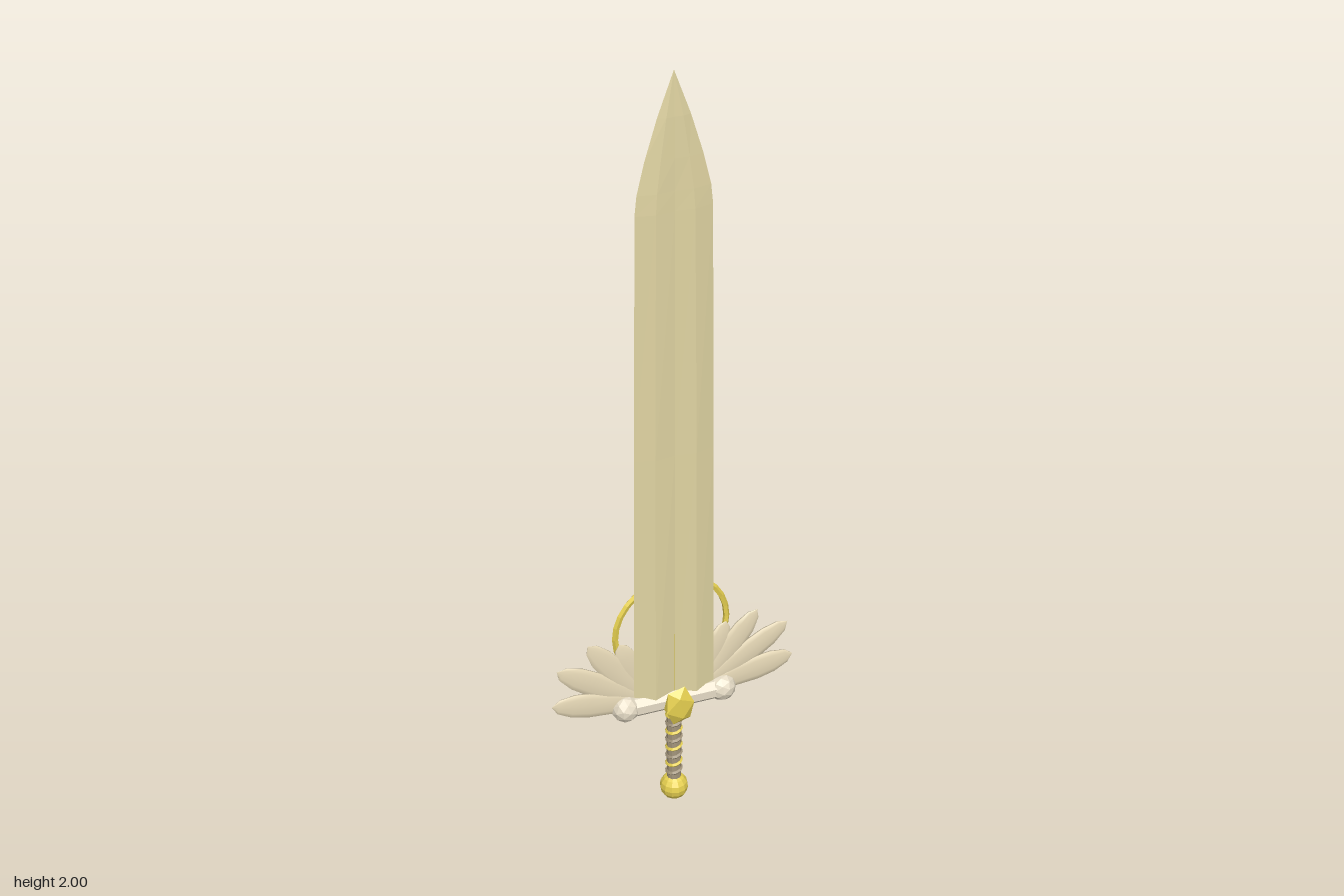
import * as THREE from 'three';

const mat = (color, flatShading = true) => {
  const m = new THREE.MeshStandardMaterial({ flatShading });
  m.color.set(color);
  return m;
};

export function createModel() {
  const root = new THREE.Group();
  root.name = 'wingedSword';
  const steel = mat(0xe0d4a2);
  const cream = mat(0xe6dcc6);
  const plume = mat(0xe8dab8, false);
  const gold = mat(0xe6d050);
  const leather = mat(0xa3957c);

  const add = (name, geometry, material, x = 0, y = 0, z = 0, parent = root) => {
    const mesh = new THREE.Mesh(geometry, material);
    mesh.name = name;
    mesh.position.set(x, y, z);
    parent.add(mesh);
    return mesh;
  };

  // Blade: two ridges with a shallow hollow between, lofted up to the tip
  const rows = [ // height, half width, ridge x, ridge depth, hollow depth
    [0.31, 0.106, 0.054, 0.017, 0.006],
    [1.02, 0.1, 0.052, 0.014, 0.006],
    [1.66, 0.094, 0.047, 0.011, 0.006],
    [1.71, 0.089, 0.044, 0.01, 0.006],
    [1.79, 0.07, 0.034, 0.008, 0.006],
    [1.89, 0.04, 0.02, 0.006, 0.005],
    [2.0, 0, 0, 0, 0],
  ];
  const section = ([y, w, r, d, h]) => [
    [-w, y, 0], [-r, y, d], [0, y, h], [r, y, d],
    [w, y, 0], [r, y, -d], [0, y, -h], [-r, y, -d],
  ];
  const verts = [];
  for (let i = 0; i < rows.length - 1; i++) {
    const lo = section(rows[i]);
    const hi = section(rows[i + 1]);
    for (let j = 0; j < 8; j++) {
      const k = (j + 1) % 8;
      verts.push(...lo[j], ...lo[k], ...hi[k]);
      if (i < rows.length - 2) verts.push(...lo[j], ...hi[k], ...hi[j]);
    }
  }
  const blade = new THREE.BufferGeometry();
  blade.setAttribute('position', new THREE.Float32BufferAttribute(verts, 3));
  blade.computeVertexNormals();
  add('blade', blade, steel);

  // Slim gold inlay down the middle of the hollow
  const inlay = new THREE.CylinderGeometry(0.001, 0.0045, 0.68, 4);
  inlay.scale(1, 1, 1.8);
  add('bladeInlay', inlay, gold, 0, 0.67, 0);

  // Ring behind the blade
  add('halo', new THREE.TorusGeometry(0.146, 0.008, 5, 28), gold, 0, 0.51, -0.02);

  // Wings: flat feathers fanned out from the guard
  const profile = [[0, 0], [0.016, 0.08], [0.027, 0.3], [0.034, 0.6], [0.031, 0.78], [0.019, 0.93], [0, 1]]
    .map(([r, t]) => new THREE.Vector2(r, t));
  const tips = [[0.318, 0.362], [0.303, 0.463], [0.222, 0.518], [0.14, 0.502]];
  for (const side of [1, -1]) {
    const wing = new THREE.Group();
    wing.name = side > 0 ? 'leftWing' : 'rightWing';
    root.add(wing);
    tips.forEach(([tx, ty], i) => {
      const dx = tx - 0.07, dy = ty - 0.315;
      const g = new THREE.LatheGeometry(profile, 10);
      g.scale(1.08 - i * 0.06, Math.hypot(dx, dy), 0.2);
      const feather = add('feather', g, plume, side * 0.07, 0.315, -0.002 - i * 0.0015, wing);
      feather.rotation.z = -side * Math.atan2(dx, dy);
    });
  }

  // Crossguard with faceted end knobs
  const bar = new THREE.CylinderGeometry(0.028, 0.028, 0.25, 8);
  bar.rotateY(Math.PI / 8);
  bar.rotateZ(Math.PI / 2);
  add('crossguard', bar, cream, 0, 0.31, -0.003);
  for (const side of [1, -1]) {
    const knob = add('guardKnob', new THREE.IcosahedronGeometry(0.036, 1), cream, side * 0.128, 0.31, -0.002);
    knob.rotation.set(0.3, side * 0.4, 0.2);
  }

  // Cut gems on both faces of the guard
  for (const side of [1, -1]) {
    const g = new THREE.IcosahedronGeometry(1, 0);
    g.rotateZ(0.2);
    g.scale(0.043, 0.058, 0.02);
    const gem = add(side > 0 ? 'frontGem' : 'backGem', g, gold, 0, 0.31, side * 0.036);
    if (side < 0) gem.rotation.y = Math.PI;
  }

  // Grip wrapped with slanted bands
  add('grip', new THREE.CylinderGeometry(0.019, 0.018, 0.24, 10), leather, 0, 0.18, 0);
  for (let i = 0; i < 8; i++) {
    const band = new THREE.TorusGeometry(0.0175, 0.0055, 5, 12);
    band.rotateX(Math.PI / 2);
    const wrap = add('gripWrap', band, i % 2 ? gold : leather, 0, 0.088 + i * 0.025, 0);
    wrap.rotation.z = 0.25;
  }

  // Pommel
  add('pommel', new THREE.SphereGeometry(0.036, 12, 8), gold, 0, 0.036, 0);
  return root;
}
